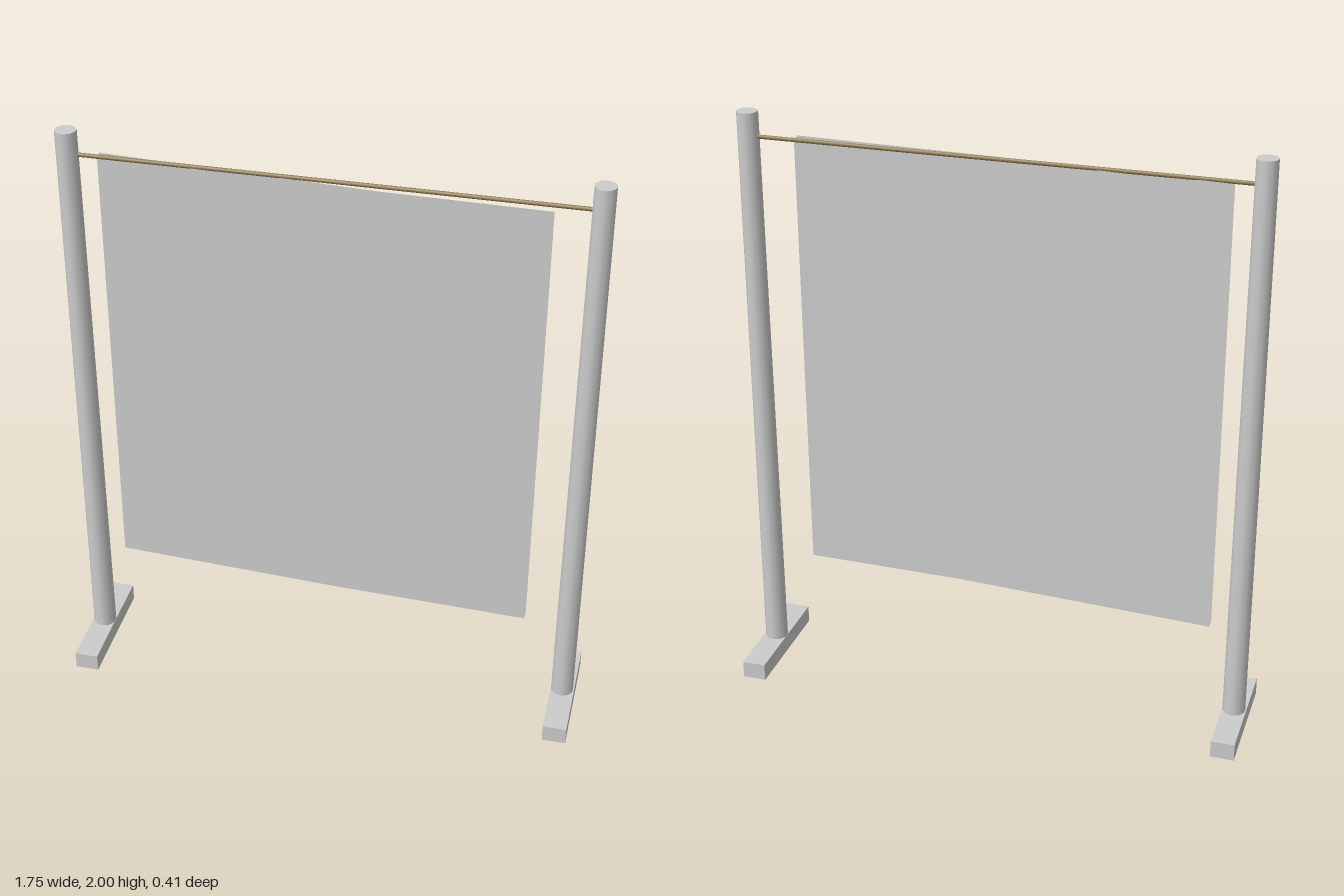
import * as THREE from 'three';

export function createModel() {
  const group = new THREE.Group();
  const grey = new THREE.MeshStandardMaterial({ color: 0xcccccc });
  grey.name = 'light grey';
  const cloth = new THREE.MeshStandardMaterial({ color: 0xcccccc, side: THREE.DoubleSide });
  cloth.name = 'grey cloth';
  const brown = new THREE.MeshStandardMaterial({ color: 0x8a7448 });
  brown.name = 'brown';

  const add = (name, geometry, material, x, y, z) => {
    const mesh = new THREE.Mesh(geometry, material);
    mesh.name = name;
    mesh.position.set(x, y, z);
    group.add(mesh);
    return mesh;
  };

  // Two tapered posts, each on a long foot
  for (const [side, s] of [['left', 1], ['right', -1]]) {
    add(side + 'Foot', new THREE.BoxGeometry(0.08, 0.06, 0.415), grey, s * 0.833, 0.03, 0);
    add(side + 'Post', new THREE.CylinderGeometry(0.035, 0.039, 1.94, 10), grey, s * 0.831, 1.03, 0);
  }

  // Thin rod between the posts
  const rod = add('rod', new THREE.CylinderGeometry(0.007, 0.007, 1.62, 8), brown, 0, 1.918, -0.002);
  rod.rotation.z = Math.PI / 2;

  // Hanging sheet: two open layers, each with one slight vertical fold
  const bottom = 0.39, top = 1.915;
  const layer = (name, path, facing) => {
    const pos = [], index = [];
    path.forEach(([x, z], i) => {
      pos.push(x, bottom, z, x, top, z);
      if (i === 0) return;
      const a = 2 * i - 2, b = a + 1, c = a + 2, d = a + 3;
      if (facing > 0) index.push(a, c, d, a, d, b);
      else index.push(a, d, c, a, b, d);
    });
    const indexed = new THREE.BufferGeometry();
    indexed.setAttribute('position', new THREE.Float32BufferAttribute(pos, 3));
    indexed.setIndex(index);
    const geometry = indexed.toNonIndexed();
    geometry.computeVertexNormals();
    add(name, geometry, cloth, 0, 0, 0);
  };
  layer('frontSheet', [[-0.74, -0.014], [0.025, 0.03], [0.69, 0.055]], 1);
  layer('backSheet', [[-0.74, -0.036], [0.155, 0.024], [0.69, 0.034]], -1);

  return group;
}
